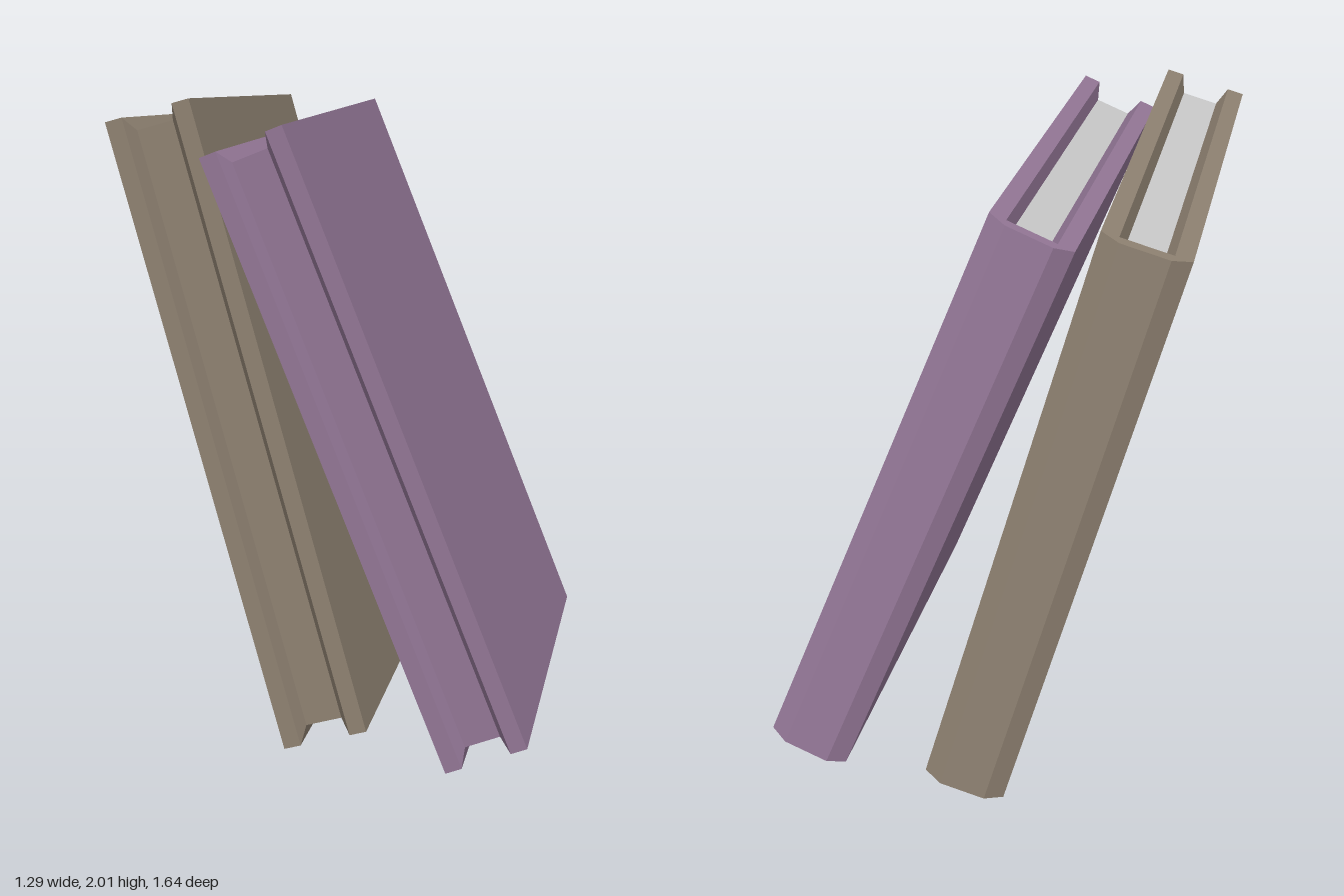
import * as THREE from 'three';

const HALF_H = 0.972;   // half height of the boards
const HALF_D = 0.7275;  // half depth of the boards
const HALF_T = 0.13;    // half thickness of the book
const RIM = 0.078;      // half gap between the boards at the rim
const PAGE = 0.056;     // half thickness of the page block
const INSET = 0.045;    // recess of the pages behind the rim
const SPINE = 0.039;    // how far the spine bulges backwards

// Box between two corners
function boxBetween(x0, y0, z0, x1, y1, z1) {
  return new THREE.BoxGeometry(x1 - x0, y1 - y0, z1 - z0)
    .translate((x0 + x1) / 2, (y0 + y1) / 2, (z0 + z1) / 2);
}

// Moves each corner of a box by a rule and keeps the faces flat
function reshape(geometry, rule) {
  const p = geometry.attributes.position;
  const v = new THREE.Vector3();
  for (let i = 0; i < p.count; i++) {
    rule(v.fromBufferAttribute(p, i));
    p.setXYZ(i, v.x, v.y, v.z);
  }
  geometry.computeVertexNormals();
  return geometry;
}

function createBook(name, color) {
  const book = new THREE.Group();
  book.name = name;
  const cover = new THREE.MeshStandardMaterial({ color, flatShading: true });
  const paper = new THREE.MeshStandardMaterial({ color: 0xcccccc, flatShading: true });
  const add = (part, geometry, material = cover) => {
    const mesh = new THREE.Mesh(geometry, material);
    mesh.name = part;
    book.add(mesh);
  };

  for (const [side, s] of [['left', 1], ['right', -1]]) {
    // Flat board
    const a = s > 0 ? RIM : -HALF_T, b = s > 0 ? HALF_T : -RIM;
    add(side + 'Board', boxBetween(a, -HALF_H, -HALF_D, b, HALF_H, HALF_D));
    // Bevel sloping from the rim in to the pages
    const c = s > 0 ? PAGE : -RIM, d = s > 0 ? RIM : -PAGE;
    const bevel = boxBetween(c, -HALF_H, -HALF_D, d, HALF_H, HALF_D);
    add(side + 'InnerBevel', reshape(bevel, (v) => {
      if (Math.abs(v.x) > (PAGE + RIM) / 2) return;
      v.y -= Math.sign(v.y) * INSET;
      if (v.z > 0) v.z -= INSET;
    }));
  }

  // Spine with chamfered long edges
  const spine = boxBetween(-HALF_T, -HALF_H, -HALF_D - SPINE, HALF_T, HALF_H, -HALF_D);
  add('spine', reshape(spine, (v) => {
    if (v.z < -HALF_D - SPINE / 2) v.x = Math.sign(v.x) * 0.073;
  }));
  const spineBevel = boxBetween(-RIM, -HALF_H, -HALF_D, RIM, HALF_H, -HALF_D + 0.022);
  add('spineInnerBevel', reshape(spineBevel, (v) => {
    if (v.z > -HALF_D + 0.011) {
      v.x = Math.sign(v.x) * PAGE;
      v.y -= Math.sign(v.y) * INSET;
    }
  }));

  // Page block, paper coloured on its top edge
  add('pages',
    boxBetween(-PAGE, -HALF_H + INSET, -HALF_D + 0.01, PAGE, HALF_H - INSET, HALF_D - INSET),
    [cover, cover, paper, cover, cover, cover]);
  return book;
}

// Leans a book so its height and depth follow the given directions
function place(book, up, front, position) {
  const u = new THREE.Vector3(...up).normalize();
  const r = new THREE.Vector3().crossVectors(u, new THREE.Vector3(...front)).normalize();
  const f = new THREE.Vector3().crossVectors(r, u);
  book.quaternion.setFromRotationMatrix(new THREE.Matrix4().makeBasis(r, u, f));
  book.position.set(...position);
  return book;
}

export function createModel() {
  const model = new THREE.Group();
  model.name = 'leaningBooks';
  model.add(
    place(createBook('brownBook', 0x8f8272), [-0.263, 0.964, 0.018], [-0.007, -0.02, 1], [-0.259, 1.024, -0.038]),
    place(createBook('purpleBook', 0x957898), [-0.362, 0.931, 0.046], [-0.0275, -0.062, 0.998], [0.151, 0.998, 0.038]),
  );
  return model;
}
